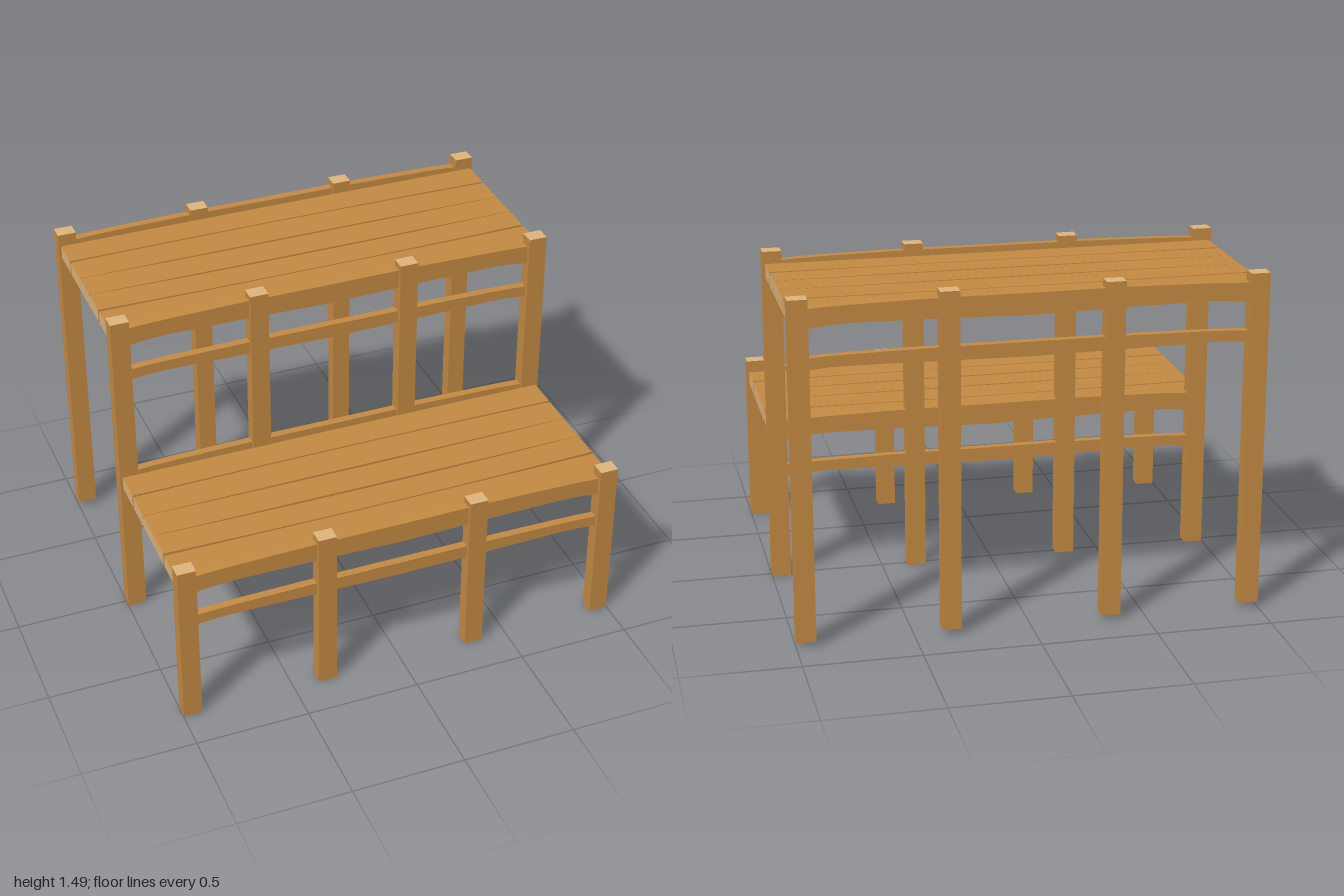
import * as THREE from 'three';

const wood = new THREE.MeshStandardMaterial({ color: 0xc48a43, flatShading: true });
const endGrain = new THREE.MeshStandardMaterial({ color: 0xdeb47c, flatShading: true });

// Piecewise-linear lookup through [position, value] pairs
function lookup(points, t) {
  for (let i = 1; i < points.length; i++) {
    const [a, va] = points[i - 1], [b, vb] = points[i];
    if (t <= b) return THREE.MathUtils.lerp(va, vb, (t - a) / (b - a));
  }
  return points[points.length - 1][1];
}

// Square upright with light end grain at top and bottom
function post(x, z, bottom, top) {
  const mesh = new THREE.Mesh(
    new THREE.BoxGeometry(0.082, top - bottom, 0.066),
    [wood, wood, endGrain, endGrain, wood, wood]);
  mesh.position.set(x, (bottom + top) / 2, z);
  mesh.name = 'post';
  return mesh;
}

// Long board along x; shape(ax, v) gives the varied y or z at distance ax from the middle
function bowedBoard(name, length, height, depth, reshape, materials) {
  const geometry = new THREE.BoxGeometry(length, height, depth, 20, 1, 1);
  const p = geometry.attributes.position;
  for (let i = 0; i < p.count; i++) {
    const v = new THREE.Vector3().fromBufferAttribute(p, i);
    reshape(v);
    p.setXYZ(i, v.x, v.y, v.z);
  }
  geometry.computeVertexNormals();
  const mesh = new THREE.Mesh(geometry, materials);
  mesh.name = name;
  return mesh;
}

// Rail edge heights from the middle outwards
const upperRail = {
  low: [[0, 0.642], [0.4, 0.651], [0.8, 0.655], [0.93, 0.638]],
  high: [[0, 0.735], [0.4, 0.736], [0.8, 0.729], [0.93, 0.722]],
};
const lowerRail = {
  low: [[0, 0.468], [0.4, 0.473], [0.8, 0.48], [0.93, 0.468]],
  high: [[0, 0.53], [0.4, 0.53], [0.8, 0.525], [0.93, 0.518]],
};

function rail(name, edges, z) {
  const mesh = bowedBoard(name, 1.86, 0.1, 0.036, (v) => {
    v.y = lookup(v.y < 0 ? edges.low : edges.high, Math.abs(v.x));
  }, wood);
  mesh.position.z = z;
  return mesh;
}

// Plank edges across the depth: [z at the ends, z in the middle]
const plankEdges = [
  [[0.036, 0.032], [0.176, 0.168]],
  [[0.188, 0.176], [0.329, 0.325]],
  [[0.331, 0.337], [0.473, 0.476]],
  [[0.475, 0.489], [0.604, 0.617]],
  [[0.619, 0.624], [0.759, 0.754]],
];

function plank([back, front]) {
  return bowedBoard('plank', 1.976, 0.06, 0.14, (v) => {
    const [end, middle] = v.z < 0 ? back : front;
    v.z = THREE.MathUtils.lerp(middle, end, (v.x / 0.988) ** 2);
    v.y += 0.682;
  }, [endGrain, endGrain, wood, wood, wood, wood]);
}

// One tier: five planks between a front and a back pair of rails
function tier(name) {
  const group = new THREE.Group();
  group.name = name;
  plankEdges.forEach((edges) => group.add(plank(edges)));
  for (const z of [0.789, 0]) {
    group.add(rail('upperRail', upperRail, z), rail('lowerRail', lowerRail, z));
  }
  return group;
}

export function createModel() {
  const model = new THREE.Group();
  model.name = 'tieredBench';

  const lower = tier('lowerTier');
  const upper = tier('upperTier');
  upper.position.set(0, 0.725, -0.792);
  model.add(lower, upper);

  // Three rows of four posts
  const posts = new THREE.Group();
  posts.name = 'posts';
  for (const x of [-0.958, -0.344, 0.344, 0.958]) {
    posts.add(post(x, 0.793, 0, 0.765));
    posts.add(post(x, 0.001, 0, 1.49));
    posts.add(post(x, -0.793, 0.025, 1.49));
  }
  model.add(posts);
  return model;
}
